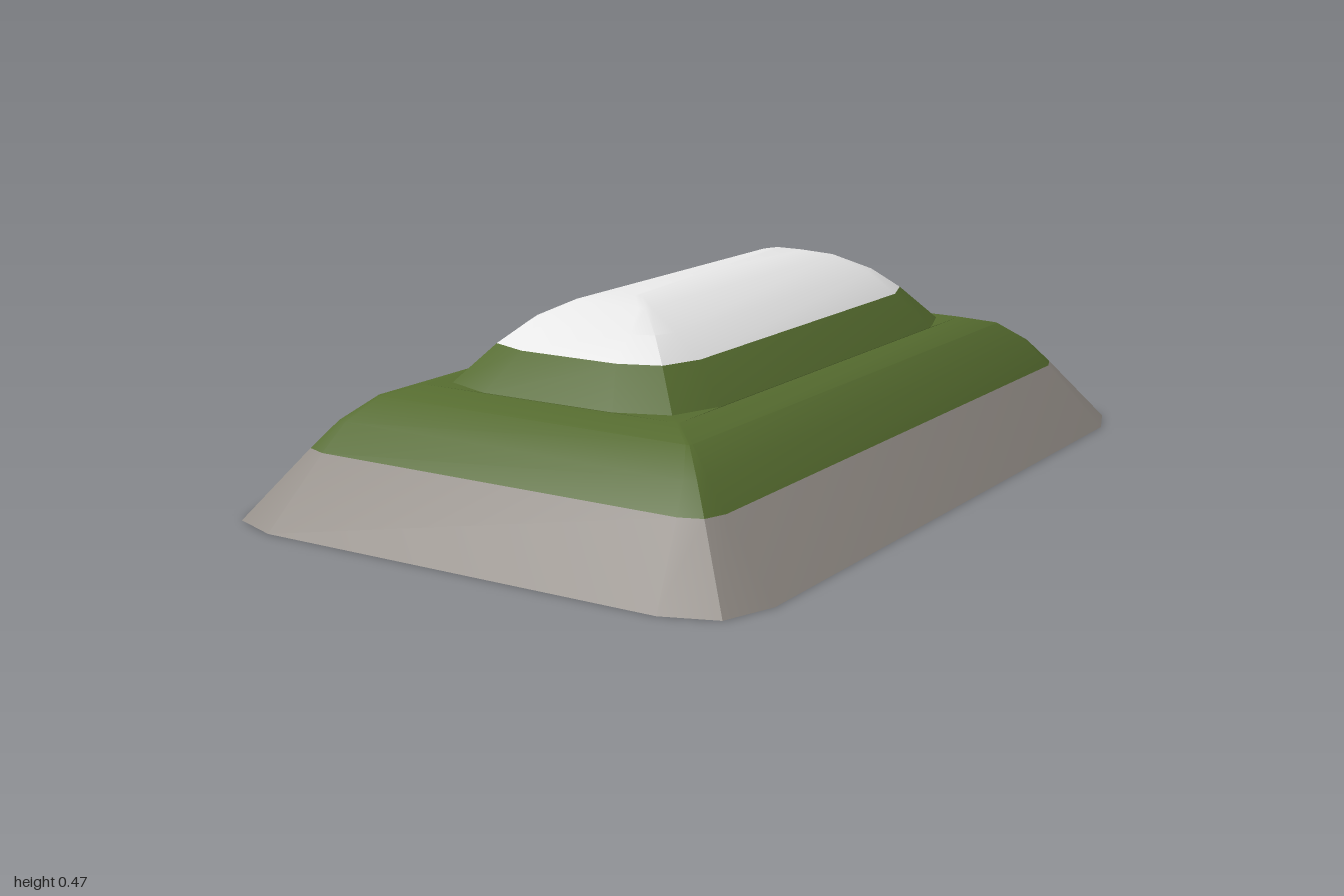
import * as THREE from 'three';
import { toCreasedNormals } from 'three/addons/utils/BufferGeometryUtils.js';

// Contours from ground to summit: half width, half depth, height, corner cut
const RINGS = [
  [0.665, 1.0, 0, 0.165],
  [0.53, 0.865, 0.155, 0.07],
  [0.475, 0.81, 0.215, 0.035],
  [0.41, 0.74, 0.265, 0.01],
  [0.335, 0.665, 0.285, 0.006],
  [0.335, 0.665, 0.286, 0.165], // ledge at the foot of the upper tier
  [0.255, 0.585, 0.37, 0.13],
  [0.185, 0.515, 0.42, 0.07],
  [0.1, 0.43, 0.46, 0.02],
  [0.04, 0.37, 0.475, 0.01],
];
const ROCK_TOP = 1, GRASS_TOP = 6;

// Rectangle with two-facet corners, running from +z towards +x
function contour([w, d, y, c]) {
  const k = c * 0.27;
  const corner = [[w - c, d], [w - k, d - k], [w, d - c]];
  const points = [];
  for (const [sx, sz] of [[1, 1], [1, -1], [-1, -1], [-1, 1]]) {
    const part = corner.map(([x, z]) => new THREE.Vector3(x * sx, y, z * sz));
    if (sx * sz < 0) part.reverse();
    points.push(...part);
  }
  return points;
}

function createShell() {
  const rings = RINGS.map(contour);
  const positions = [];
  const geometry = new THREE.BufferGeometry();
  const triangle = (...pts) => pts.forEach((p) => positions.push(p.x, p.y, p.z));
  let start = 0;
  const closeGroup = (material) => {
    geometry.addGroup(start, positions.length / 3 - start, material);
    start = positions.length / 3;
  };

  // Sloping bands
  for (let i = 0; i < rings.length - 1; i++) {
    const low = rings[i], high = rings[i + 1];
    for (let j = 0; j < low.length; j++) {
      const n = (j + 1) % low.length;
      triangle(low[j], low[n], high[n]);
      triangle(low[j], high[n], high[j]);
    }
    if (i + 1 === ROCK_TOP) closeGroup(0);
    if (i + 1 === GRASS_TOP) closeGroup(1);
  }

  // Flat summit
  const top = rings[rings.length - 1];
  const centre = new THREE.Vector3(0, top[0].y, 0);
  top.forEach((p, j) => triangle(p, top[(j + 1) % top.length], centre));
  closeGroup(2);

  geometry.setAttribute('position', new THREE.Float32BufferAttribute(positions, 3));
  return toCreasedNormals(geometry, 0.4);
}

export function createModel() {
  const material = (name, color) => {
    const m = new THREE.MeshStandardMaterial({ color, side: THREE.DoubleSide });
    m.name = name;
    return m;
  };
  const group = new THREE.Group();
  group.name = 'hill';

  // Open-bottomed hill: rocky foot, grassy slopes and snowy summit
  const hill = new THREE.Mesh(createShell(), [
    material('rock', 0x938d87),
    material('grass', 0x556b2f),
    material('snow', 0xeeeeee),
  ]);
  hill.name = 'hillShell';
  group.add(hill);
  return group;
}
